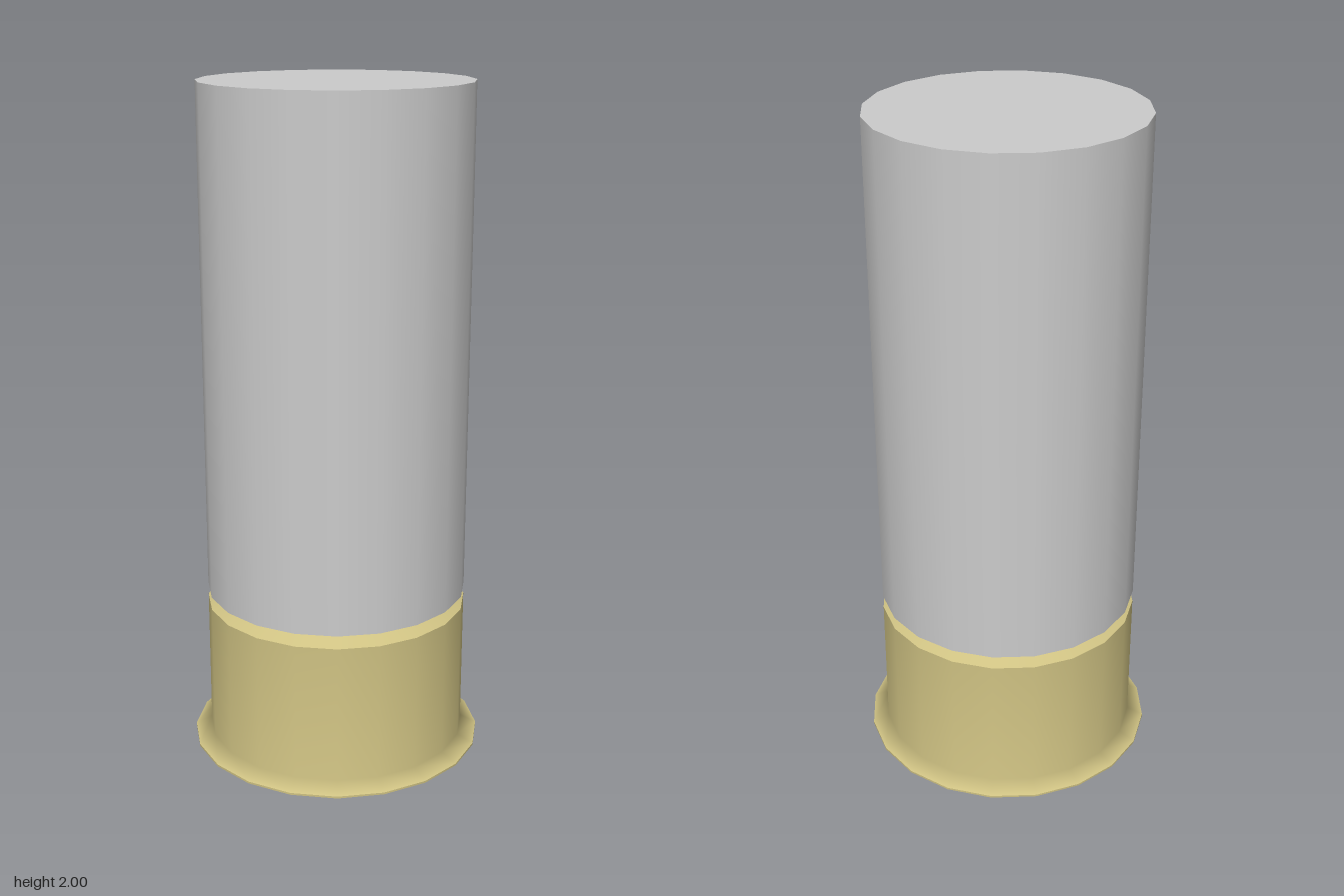
import * as THREE from 'three';
import { mergeGeometries } from 'three/addons/utils/BufferGeometryUtils.js';

const SIDES = 20;

// Each section is smooth in itself; edges between sections stay sharp.
function turned(name, color, sections) {
  const lathes = sections.map(points =>
    new THREE.LatheGeometry(points.map(([r, y]) => new THREE.Vector2(r, y)), SIDES));
  const mesh = new THREE.Mesh(mergeGeometries(lathes), new THREE.MeshStandardMaterial({ color }));
  mesh.name = name;
  return mesh;
}

export function createModel() {
  const group = new THREE.Group();
  group.name = 'cartridge';

  const R = 0.393, rimR = 0.442, grooveR = 0.345;
  const brass = 0xcfc283;

  // Brass base: flat bottom, rim flaring into the wall, then the crimp groove
  group.add(turned('brassBase', brass, [
    [[0, 0], [rimR, 0]],
    [[rimR, 0], [rimR, 0.006]],
    [[rimR, 0.006], [R, 0.03], [R, 0.45]],
    [[R, 0.45], [grooveR, 0.474]],
  ]));
  group.add(turned('crimpCollar', brass, [
    [[grooveR, 0.474], [R, 0.49]],
  ]));

  // Tube: straight wall with a flat closed top
  group.add(turned('tube', 0xcccccc, [
    [[R, 0.49], [R, 2]],
    [[R, 2], [0, 2]],
  ]));

  return group;
}
